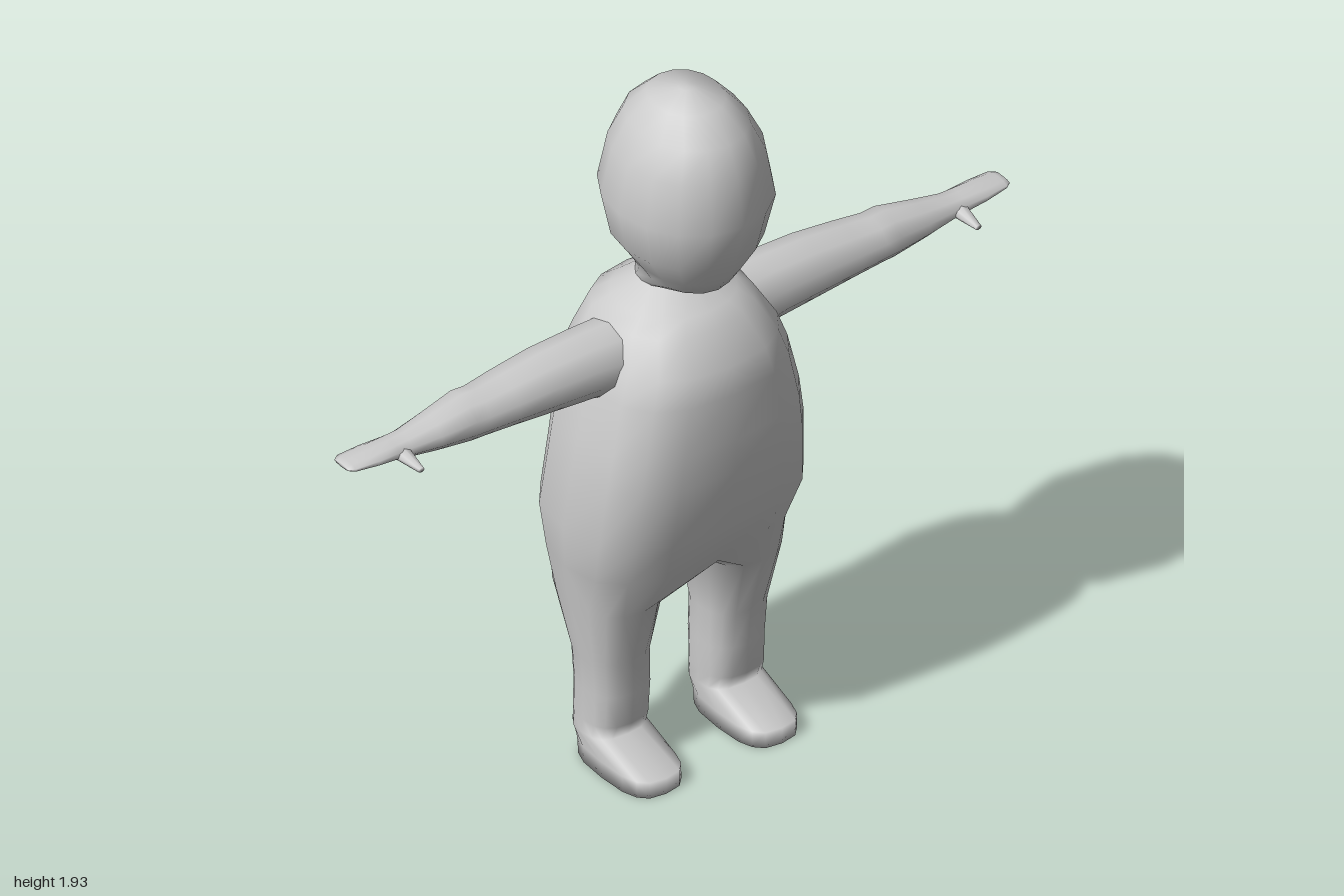
import * as THREE from 'three';
import { mergeGeometries, mergeVertices } from 'three/addons/utils/BufferGeometryUtils.js';

const SIDES = 16;
const material = new THREE.MeshStandardMaterial({ color: 0xcccccc });

// Rounded outline of n points; p = 2 is an ellipse, larger is boxier
function outline(n, p) {
  const soft = (v) => Math.sign(v) * Math.pow(Math.abs(v) < 1e-9 ? 0 : Math.abs(v), 2 / p);
  return Array.from({ length: n }, (_, i) => {
    const t = (i / n) * Math.PI * 2;
    return [soft(Math.sin(t)), soft(Math.cos(t))];
  });
}

// Level ring: height, x range, z range
function levelRing(y, x0, x1, z0, z1, p = 2) {
  return outline(SIDES, p).map(([s, c]) => new THREE.Vector3(
    (x0 + x1) / 2 + s * (x1 - x0) / 2, y, (z0 + z1) / 2 + c * (z1 - z0) / 2));
}

// Upright ring across the arm: x, y range, z range
function armRing([x, y0, y1, z0, z1]) {
  return outline(10, 2).map(([s, c]) => new THREE.Vector3(
    x, (y0 + y1) / 2 + c * (y1 - y0) / 2, (z0 + z1) / 2 + s * (z1 - z0) / 2));
}

// Skin a list of rings, optionally closing either end with a fan
function loft(rings, capStart = false, capEnd = false) {
  const n = rings[0].length;
  const points = rings.flat();
  const index = [];
  for (let r = 0; r < rings.length - 1; r++) {
    for (let i = 0; i < n; i++) {
      const a = r * n + i, b = r * n + (i + 1) % n;
      index.push(a, b, b + n, a, b + n, a + n);
    }
  }
  const cap = (r, flip) => {
    const mid = new THREE.Vector3();
    rings[r].forEach((v) => mid.addScaledVector(v, 1 / n));
    const m = points.push(mid) - 1;
    for (let i = 0; i < n; i++) {
      const a = r * n + i, b = r * n + (i + 1) % n;
      index.push(m, flip ? b : a, flip ? a : b);
    }
  };
  if (capStart) cap(0, true);
  if (capEnd) cap(rings.length - 1, false);
  const geo = new THREE.BufferGeometry().setFromPoints(points);
  geo.setIndex(index);
  return geo;
}

function mirrored(geo) {
  const copy = geo.clone().scale(-1, 1, 1);
  copy.setIndex(Array.from(geo.index.array).reverse());
  return copy;
}

function smoothMesh(name, geo) {
  const welded = mergeVertices(geo, 1e-4);
  welded.computeVertexNormals();
  const mesh = new THREE.Mesh(welded, material);
  mesh.name = name;
  return mesh;
}

export function createModel() {
  const group = new THREE.Group();
  group.name = 'figure';

  // Head: height, half width, back z, front z
  const head = [
    [1.355, 0.085, -0.11, 0.05], [1.4, 0.1, -0.11, 0.165], [1.44, 0.125, -0.125, 0.19],
    [1.52, 0.18, -0.165, 0.235], [1.64, 0.205, -0.19, 0.265], [1.77, 0.18, -0.165, 0.245],
    [1.85, 0.14, -0.13, 0.21], [1.908, 0.09, -0.07, 0.14], [1.932, 0.02, 0.02, 0.06],
  ].map(([y, w, z0, z1]) => levelRing(y, -w, w, z0, z1, 2.1));
  group.add(smoothMesh('head', loft(head, false, true)));

  // Torso: height, half width, back z, front z, boxiness
  const torso = [
    [0.6, 0.31, -0.245, 0.165, 2.6], [0.73, 0.328, -0.26, 0.215, 2.8], [0.9, 0.315, -0.245, 0.235, 2.7],
    [1.0, 0.298, -0.245, 0.24, 2.7], [1.13, 0.268, -0.25, 0.235, 2.6], [1.205, 0.24, -0.228, 0.222, 2.5],
    [1.285, 0.195, -0.2, 0.165, 2.4], [1.315, 0.155, -0.16, 0.13, 2.2], [1.355, 0.085, -0.11, 0.05, 2],
  ].map(([y, w, z0, z1, p]) => levelRing(y, -w, w, z0, z1, p));

  // Top of the leg: half of the lowest torso ring, closed by an arch at the crotch
  const half = SIDES / 2;
  const hip = torso[0].map((v, i) => {
    if (i <= half) return v.clone();
    const t = (i - half) / half;
    return new THREE.Vector3(0, 0.6 - 0.06 * Math.sin(t * Math.PI), THREE.MathUtils.lerp(-0.245, 0.165, t));
  });
  hip[0].x = hip[half].x = 0;

  // Leg and foot: height, inner x, outer x, back z, front z, boxiness
  const leg = [
    [0, 0.09, 0.26, -0.105, 0.19, 3], [0.045, 0.09, 0.26, -0.11, 0.19, 3],
    [0.09, 0.09, 0.26, -0.115, 0.035, 2.8], [0.13, 0.09, 0.26, -0.118, 0.05, 2.6],
    [0.22, 0.086, 0.26, -0.12, 0.056, 2.5], [0.32, 0.088, 0.268, -0.122, 0.06, 2.4],
    [0.49, 0.068, 0.294, -0.185, 0.105, 2.4],
  ].map((r) => levelRing(...r));
  const legGeo = loft([...leg, hip], true, false);
  group.add(smoothMesh('torsoAndLegs', mergeGeometries([loft(torso), legGeo, mirrored(legGeo)])));

  // Arm and hand: x, bottom y, top y, back z, front z
  const arm = loft([
    [0.17, 1.09, 1.285, -0.115, 0.085], [0.28, 1.11, 1.285, -0.11, 0.075], [0.4, 1.12, 1.28, -0.108, 0.07],
    [0.52, 1.13, 1.266, -0.1, 0.062], [0.6, 1.135, 1.257, -0.09, 0.055], [0.64, 1.137, 1.26, -0.09, 0.055],
    [0.74, 1.15, 1.24, -0.073, 0.042], [0.82, 1.163, 1.226, -0.058, 0.03], [0.86, 1.172, 1.224, -0.057, 0.03],
    [0.92, 1.183, 1.22, -0.06, 0.03], [0.985, 1.192, 1.213, -0.06, 0.02], [1.0, 1.198, 1.208, -0.05, 0.01],
  ].map(armRing), false, true);

  // Thumb: a small taper pointing forward from the palm
  const thumb = new THREE.CylinderGeometry(0.009, 0.025, 0.085, 8);
  thumb.rotateX(Math.PI / 2);
  thumb.scale(1, 0.8, 1);
  thumb.rotateX(0.1);
  thumb.translate(0.843, 1.189, 0.05);

  for (const [side, fix] of [['left', (g) => g], ['right', mirrored]]) {
    group.add(smoothMesh(side + 'Arm', fix(arm)));
    const plain = thumb.clone().deleteAttribute('uv').deleteAttribute('normal');
    group.add(smoothMesh(side + 'Thumb', fix(plain)));
  }
  return group;
}
